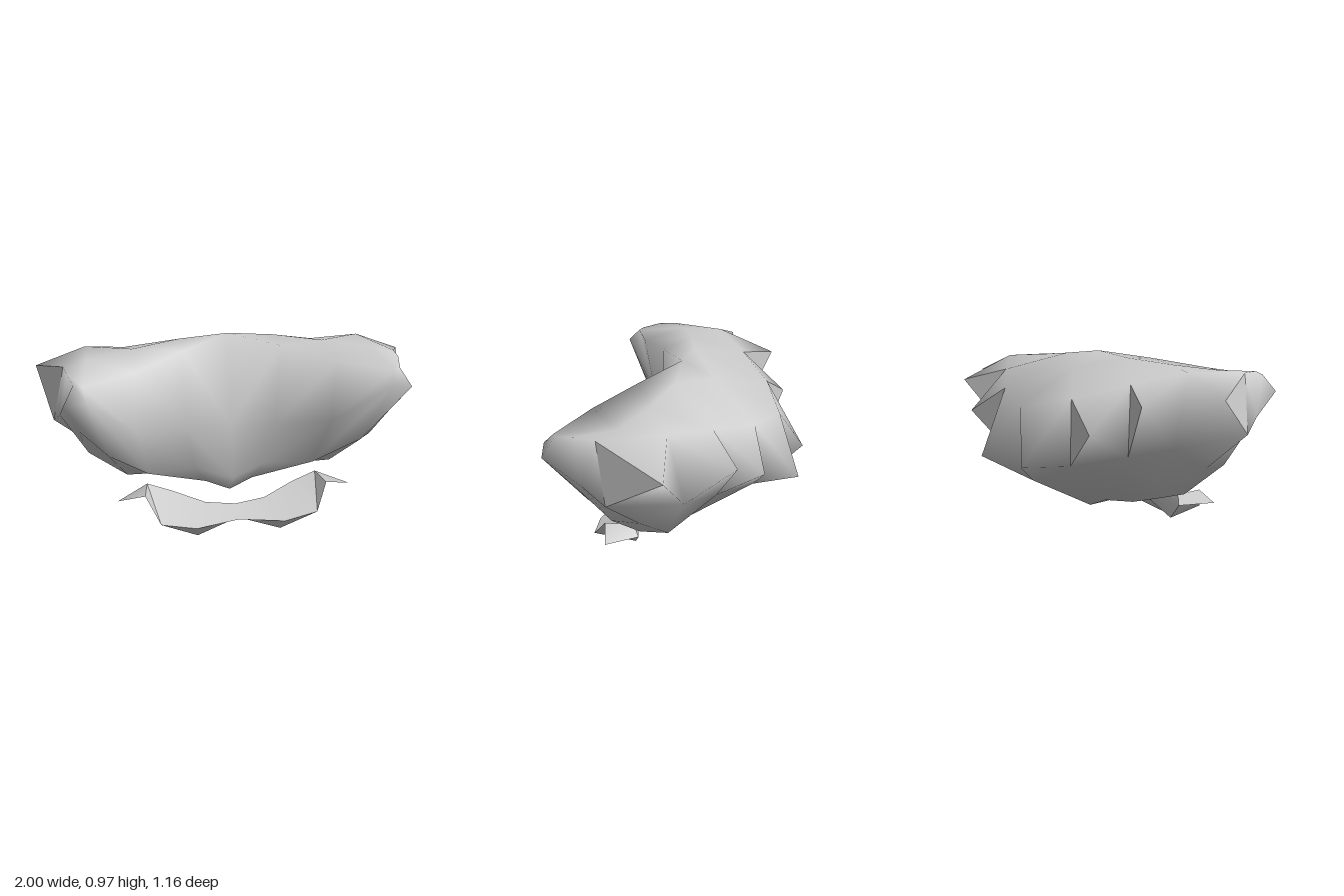
import * as THREE from 'three';
import { toCreasedNormals } from 'three/addons/utils/BufferGeometryUtils.js';

// Adds a triangle and its mirror image across x = 0
function addPair(list, a, b, c) {
  list.push(...a, ...b, ...c);
  for (const p of [a, c, b]) list.push(-p[0], p[1], p[2]);
}

function toGeometry(list, crease) {
  const g = new THREE.BufferGeometry();
  g.setAttribute('position', new THREE.Float32BufferAttribute(list, 3));
  return toCreasedNormals(g, crease);
}

// Lofts rings outward from x = 0, closes them with an apex and mirrors the half.
// tufts[k] raises the third strip (rim to lower back) between rings k and k+1 to a tip;
// its sharp edge, if any, names the side of the tuft that goes to a separate list.
function loftMirrored(rings, apex, tufts = []) {
  const smooth = [], sharp = [];
  const n = rings[0].length;
  for (let k = 0; k < rings.length - 1; k++) {
    for (let j = 0; j < n; j++) {
      const m = (j + 1) % n;
      const quad = [rings[k][j], rings[k + 1][j], rings[k + 1][m], rings[k][m]];
      if (j === 2 && tufts[k]) {
        const { tip, sharpEdge } = tufts[k];
        quad.forEach((p, i) => addPair(i === sharpEdge ? sharp : smooth, p, quad[(i + 1) % 4], tip));
      } else {
        addPair(smooth, quad[0], quad[1], quad[2]);
        addPair(smooth, quad[0], quad[2], quad[3]);
      }
    }
  }
  const last = rings[rings.length - 1];
  last.forEach((p, j) => addPair(smooth, apex, last[(j + 1) % n], p));
  return { smooth, sharp };
}

export function createModel() {
  const group = new THREE.Group();
  const grey = new THREE.MeshStandardMaterial({ color: 0xcccccc, side: THREE.DoubleSide });
  grey.name = 'lightGrey';

  const add = (name, geometry) => {
    const mesh = new THREE.Mesh(geometry, grey);
    mesh.name = name;
    group.add(mesh);
  };

  // Ring order: top front, crown, rim, lower back, bottom, chin, front low, front mid
  const bodyRings = [
    [[0, .975, .08], [0, .89, -.1], [0, .715, -.45], [0, .31, -.38],
      [0, .1, .02], [0, .105, .17], [0, .22, .265], [0, .5, .19]],
    [[.25, .94, .245], [.25, .95, .06], [.29, .773, -.35], [.28, .43, -.35],
      [.15, .165, 0], [.13, .15, .14], [.19, .245, .165], [.24, .5, .215]],
    [[.5, .895, .415], [.5, .927, .13], [.53, .85, -.18], [.54, .5, -.2],
      [.34, .19, .03], [.31, .22, .14], [.45, .27, .24], [.5, .55, .36]],
    [[.75, .87, .52], [.73, .91, .22], [.74, .912, -.01], [.73, .55, -.08],
      [.56, .26, .04], [.56, .25, .19], [.65, .47, .42], [.73, .81, .58]],
    [[.79, .875, .5], [.82, .9, .4], [.84, .9, .29], [.91, .61, .24],
      [.75, .43, .13], [.75, .43, .27], [.79, .62, .42], [.84, .79, .55]],
  ];
  // Tufts, from the middle of the back round to the side
  const tufts = [
    { tip: [.18, .44, -.58] },
    { tip: [.52, .63, -.43], sharpEdge: 3 },
    { tip: [.76, .78, -.33], sharpEdge: 3 },
    { tip: [1, .81, -.05], sharpEdge: 1 },
  ];
  const body = loftMirrored(bodyRings, [.87, .68, .36], tufts);
  add('body', toGeometry(body.smooth, 2.2));
  add('tuftSides', toGeometry(body.sharp, 0.1));

  // Ring order: front edge, back edge, bottom edge
  const crescentRings = [
    [[0, .07, .45], [0, .11, .35], [0, .06, .41]],
    [[.23, .075, .515], [.16, .12, .325], [.22, .003, .46]],
    [[.41, .1, .49], [.33, .17, .26], [.4, .07, .26]],
    [[.48, .222, .4], [.46, .218, .25], [.5, .17, .215]],
  ];
  add('lowerCrescent', toGeometry(loftMirrored(crescentRings, [.62, .185, .36]).smooth, 0.7));
  return group;
}
